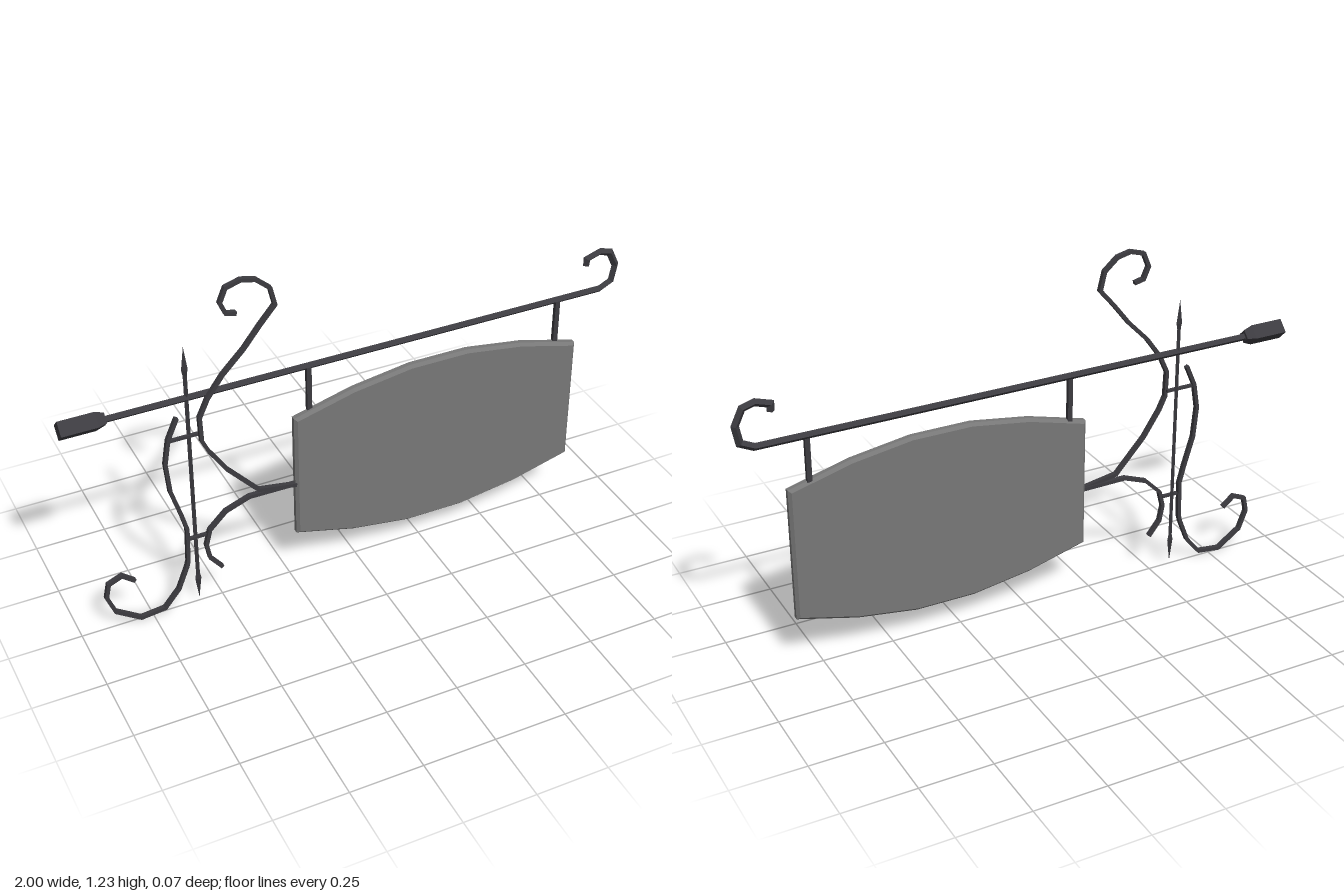
import * as THREE from 'three';

const iron = new THREE.MeshStandardMaterial({ color: 0x3c3b40, flatShading: true });
iron.name = 'dark iron';
const grey = new THREE.MeshStandardMaterial({ color: 0x777777, flatShading: true });
grey.name = 'grey board';

const V = (list) => list.map(([x, y]) => new THREE.Vector2(x, y));
const diamond = (r) => [[r, 0], [0, r], [-r, 0], [0, -r]];
const square = (w, d) => [[w, -d], [w, d], [-w, d], [-w, -d]];

// Sweeps a convex section along a flat path with mitred corners
function sweep(path, section, z) {
  const pts = V(path), k = section.length, n = pts.length;
  const pos = [], idx = [];
  pts.forEach((p, i) => {
    const a = p.clone().sub(pts[Math.max(i - 1, 0)]).normalize();
    const b = pts[Math.min(i + 1, n - 1)].clone().sub(p).normalize();
    const t = a.clone().add(b).normalize();
    const mitre = 1 / Math.max(0.6, Math.max(t.dot(a), t.dot(b)));
    for (const [u, w] of section) pos.push(p.x - t.y * u * mitre, p.y + t.x * u * mitre, z + w);
  });
  for (let i = 0; i < n - 1; i++) {
    for (let j = 0; j < k; j++) {
      const a = i * k + j, b = i * k + (j + 1) % k;
      idx.push(a, b, b + k, a, b + k, a + k);
    }
  }
  const e = (n - 1) * k;
  for (let j = 1; j < k - 1; j++) idx.push(0, j + 1, j, e, e + j, e + j + 1);
  const g = new THREE.BufferGeometry();
  g.setAttribute('position', new THREE.Float32BufferAttribute(pos, 3));
  g.setIndex(idx);
  const flat = g.toNonIndexed();
  flat.computeVertexNormals();
  return flat;
}

export function createModel() {
  const model = new THREE.Group();
  model.name = 'hangingSign';
  const add = (name, geometry, material = iron) => {
    const mesh = new THREE.Mesh(geometry, material);
    mesh.name = name;
    model.add(mesh);
    return mesh;
  };

  // Horizontal boom ending in a curled hook
  add('boom', sweep([
    [-0.87, 0.84], [0.927, 0.84], [0.972, 0.862], [0.983, 0.922], [0.957, 0.976],
    [0.917, 0.988], [0.867, 0.972], [0.867, 0.948],
  ], diamond(0.013), 0));

  // Tapered wall socket, four sided, turned on its edge
  const socket = new THREE.LatheGeometry(
    V([[0, 0], [0.036, 0], [0.036, 0.12], [0.024, 0.15], [0, 0.15]]), 4);
  socket.rotateZ(-Math.PI / 2);
  add('wallSocket', socket).position.set(-1, 0.842, 0);

  // Upright spear with a point at both ends
  const spear = new THREE.LatheGeometry(V([
    [0, 0.02], [0.011, 0.105], [0.007, 0.125], [0.007, 0.925], [0.011, 0.945], [0, 1.03],
  ]), 4);
  add('uprightSpear', spear).position.set(-0.583, 0, 0);

  // Wrought scrolls
  const bar = square(0.0065, 0.008);
  add('upperScroll', sweep([
    [-0.412, 1.116], [-0.446, 1.124], [-0.464, 1.166], [-0.444, 1.214], [-0.393, 1.229],
    [-0.345, 1.218], [-0.298, 1.177], [-0.283, 1.113], [-0.335, 1.053], [-0.393, 0.98],
    [-0.467, 0.905], [-0.521, 0.831], [-0.551, 0.766], [-0.548, 0.676], [-0.526, 0.628],
    [-0.467, 0.537], [-0.36, 0.418], [-0.225, 0.395],
  ], bar, 0.018));
  add('lowerScroll', sweep([
    [-0.225, 0.395], [-0.393, 0.397], [-0.478, 0.365], [-0.537, 0.307],
    [-0.552, 0.248], [-0.541, 0.19], [-0.5, 0.137],
  ], bar, 0.013));
  add('wallScroll', sweep([
    [-0.622, 0.777], [-0.655, 0.702], [-0.67, 0.612], [-0.66, 0.5], [-0.628, 0.392],
    [-0.612, 0.329], [-0.616, 0.195], [-0.622, 0.172], [-0.655, 0.088], [-0.708, 0.024],
    [-0.793, 0.014], [-0.879, 0.073], [-0.905, 0.142], [-0.894, 0.195], [-0.847, 0.215],
    [-0.804, 0.18],
  ], bar, 0.003));

  // Short links tying the scrolls to the spear
  for (const [x0, x1, y] of [[-0.652, -0.548, 0.698], [-0.616, -0.545, 0.287]]) {
    add('scrollLink', new THREE.BoxGeometry(x1 - x0, 0.009, 0.012))
      .position.set((x0 + x1) / 2, y, 0.006);
  }

  // Hangers between boom and board
  for (const x of [-0.168, 0.757]) {
    add('hanger', new THREE.BoxGeometry(0.017, 0.17, 0.014)).position.set(x, 0.755, 0.006);
  }

  // Barrel-shaped board with chamfered edges
  const half = [[-0.53, 0.236], [-0.317, 0.293], [-0.106, 0.325]];
  const top = [...half, ...half.map(([x, y]) => [-x, y]).reverse()];
  const outline = [...top, ...top.map(([x, y]) => [x, -y]).reverse()].reverse();
  const board = new THREE.ExtrudeGeometry(new THREE.Shape(V(outline)), {
    depth: 0.016, bevelThickness: 0.01, bevelSize: 0.01, bevelOffset: -0.01, bevelSegments: 1,
  });
  add('signBoard', board, grey).position.set(0.301, 0.426, 0.004);

  return model;
}
